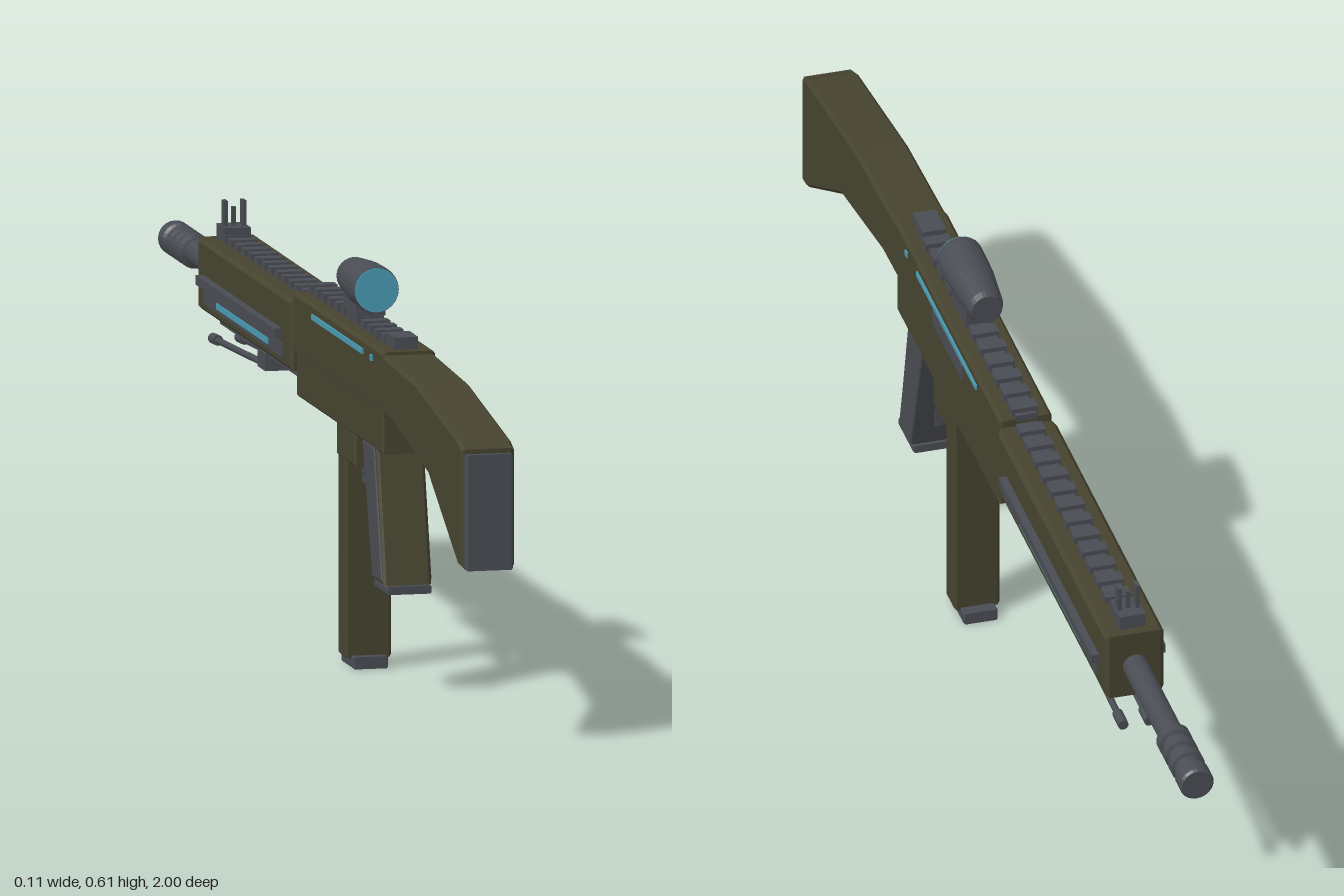
import * as THREE from 'three';

const mat = (name, color) => {
  const m = new THREE.MeshStandardMaterial({ color });
  m.name = name;
  return m;
};

export function createModel() {
  const olive = mat('olive', 0x46442f);
  const steel = mat('steel grey', 0x494c53);
  const cyan = mat('cyan', 0x4a9bb5);
  const root = new THREE.Group();

  const add = (name, geo, material, parent = root) => {
    const m = new THREE.Mesh(geo, material);
    m.name = name;
    parent.add(m);
    return m;
  };
  const group = (name) => {
    const g = new THREE.Group();
    g.name = name;
    root.add(g);
    return g;
  };
  // Box from x, y and z ranges
  const box = (name, material, [x0, x1], [y0, y1], [z0, z1], parent) => {
    const m = add(name, new THREE.BoxGeometry(x1 - x0, y1 - y0, z1 - z0), material, parent);
    m.position.set((x0 + x1) / 2, (y0 + y1) / 2, (z0 + z1) / 2);
    return m;
  };
  // Side outline of [z, y] points, extruded across x with bevelled edges
  const slab = (name, material, pts, half, bevel, parent) => {
    const shape = new THREE.Shape(pts.map(([z, y]) => new THREE.Vector2(z, y)));
    const geo = new THREE.ExtrudeGeometry(shape, {
      depth: 2 * (half - bevel), bevelEnabled: bevel > 0, bevelSize: bevel,
      bevelThickness: bevel, bevelOffset: -bevel, bevelSegments: 1,
    });
    geo.translate(0, 0, -(half - bevel));
    geo.rotateY(-Math.PI / 2);
    return add(name, geo, material, parent);
  };
  const rect = (z0, z1, y0, y1) => [[z0, y0], [z1, y0], [z1, y1], [z0, y1]];
  // Turned part along z from [radius, z] points running towards -z
  const turned = (name, material, pts, y, parent) => {
    const geo = new THREE.LatheGeometry(pts.map(([r, z]) => new THREE.Vector2(r, -z)), 24);
    geo.rotateX(-Math.PI / 2);
    const m = add(name, geo.toNonIndexed(), material, parent);
    m.geometry.computeVertexNormals();
    m.position.y = y;
    return m;
  };

  // Stock and butt plate
  const stock = group('stock');
  slab('stockBody', olive, [[0.99, 0.268], [0.99, 0.447], [0.965, 0.457], [0.7, 0.498],
    [0.47, 0.508], [0.47, 0.418], [0.55, 0.416], [0.775, 0.375], [0.963, 0.27]], 0.04, 0.005, stock);
  slab('buttPlate', steel, rect(0.975, 1, 0.267, 0.44), 0.036, 0.003, stock);

  // Receiver
  const receiver = group('receiver');
  slab('upperReceiver', olive, rect(-0.08, 0.49, 0.42, 0.512), 0.04, 0.005, receiver);
  slab('lowerReceiver', olive, rect(-0.065, 0.48, 0.358, 0.43), 0.039, 0.004, receiver);
  slab('magazineWell', olive, rect(0.18, 0.295, 0.31, 0.365), 0.037, 0.004, receiver);
  box('ejectionPort', steel, [0.037, 0.042], [0.46, 0.485], [0.12, 0.28], receiver);
  for (const s of [-1, 1]) {
    const side = [s * 0.0405 - 0.002, s * 0.0405 + 0.002];
    box('receiverLightStrip', cyan, side, [0.49, 0.498], [0.045, 0.365], receiver);
    box('receiverLightDot', cyan, side, [0.489, 0.498], [0.416, 0.426], receiver);
  }

  // Handguard with side rails, slots and light strips
  const handguard = group('handguard');
  slab('handguardBody', olive, rect(-0.665, -0.08, 0.393, 0.5), 0.045, 0.006, handguard);
  box('lowerRail', steel, [-0.022, 0.022], [0.377, 0.395], [-0.62, -0.12], handguard);
  for (const s of [-1, 1]) {
    const at = (c, w) => [s * c - w / 2, s * c + w / 2];
    box('sideRail', steel, at(0.049, 0.015), [0.435, 0.449], [-0.63, -0.13], handguard);
    box('sideSlot', steel, at(0.0445, 0.004), [0.407, 0.428], [-0.62, -0.12], handguard);
    box('handguardLightStrip', cyan, at(0.0455, 0.005), [0.413, 0.422], [-0.535, -0.21], handguard);
  }

  // Top rail with cross teeth
  const rail = group('topRail');
  box('receiverRailBase', steel, [-0.016, 0.016], [0.508, 0.518], [-0.08, 0.46], rail);
  box('handguardRailBase', steel, [-0.016, 0.016], [0.496, 0.504], [-0.65, -0.08], rail);
  for (let z = 0.4; z > -0.64; z -= 0.042) {
    const y = z > -0.075 ? 0.511 : 0.497;
    box('railTooth', steel, [-0.02, 0.02], [y, y + 0.014], [z - 0.011, z + 0.011], rail);
  }

  // Barrel and ringed muzzle brake
  const barrel = group('barrel');
  turned('barrelTube', steel, [[0, -0.6], [0.019, -0.6], [0.019, -0.87], [0, -0.87]], 0.444, barrel);
  const brake = [[0, -0.855], [0.021, -0.86]];
  for (const z of [-0.868, -0.9, -0.932]) {
    brake.push([0.021, z], [0.026, z - 0.002], [0.026, z - 0.018], [0.021, z - 0.02]);
  }
  brake.push([0.021, -0.966], [0.026, -0.97], [0.026, -0.996], [0.023, -1], [0, -1]);
  turned('muzzleBrake', steel, brake, 0.444, barrel);

  // Iron sights
  const sights = group('ironSights');
  box('frontSightBase', steel, [-0.02, 0.02], [0.5, 0.522], [-0.65, -0.6], sights);
  box('frontSightPost', steel, [-0.003, 0.003], [0.52, 0.55], [-0.628, -0.622], sights);
  for (const x of [-0.014, 0.014]) {
    box('frontSightEar', steel, [x - 0.003, x + 0.003], [0.52, 0.56], [-0.632, -0.616], sights);
  }
  box('rearSightBase', steel, [-0.018, 0.018], [0.51, 0.53], [0.415, 0.47], sights);

  // Scope on its mount
  const scope = group('scope');
  turned('scopeTube', steel, [[0, 0.28], [0.034, 0.28], [0.035, 0.27], [0.034, 0.215],
    [0.027, 0.14], [0.023, 0.13], [0, 0.13]], 0.57, scope);
  const lens = add('scopeLens', new THREE.CylinderGeometry(0.033, 0.033, 0.004, 24), cyan, scope);
  lens.rotation.x = Math.PI / 2;
  lens.position.set(0, 0.57, 0.2805);
  box('mountTop', steel, [-0.022, 0.022], [0.526, 0.555], [0.165, 0.245], scope);
  box('mountFoot', steel, [-0.019, 0.019], [0.512, 0.53], [0.175, 0.235], scope);

  // Grip with side panels and base cap
  const grip = group('grip');
  slab('gripCore', olive, [[0.48, 0.16], [0.415, 0.16], [0.352, 0.365], [0.432, 0.365]], 0.036, 0.004, grip);
  slab('gripPanels', steel, [[0.472, 0.168], [0.412, 0.165], [0.35, 0.36], [0.422, 0.36]], 0.038, 0.002, grip);
  slab('gripCap', steel, rect(0.408, 0.49, 0.15, 0.162), 0.034, 0.002, grip);

  // Trigger and guard
  const trigger = group('trigger');
  slab('triggerBlade', steel, [[0.393, 0.205], [0.389, 0.205], [0.384, 0.36], [0.392, 0.36]], 0.006, 0, trigger);
  box('guardBar', steel, [-0.01, 0.01], [0.277, 0.285], [0.23, 0.36], trigger);
  box('guardFront', steel, [-0.01, 0.01], [0.277, 0.315], [0.23, 0.24], trigger);

  // Magazine
  const magazine = group('magazine');
  slab('magazineBody', olive, rect(0.184, 0.23, 0.014, 0.32), 0.035, 0.004, magazine);
  slab('magazineBase', steel, rect(0.165, 0.246, 0, 0.018), 0.026, 0.002, magazine);

  // Folded bipod
  const bipod = group('bipod');
  box('bipodBlock', steel, [-0.025, 0.025], [0.354, 0.38], [-0.37, -0.32], bipod);
  for (const x of [-0.02, 0.02]) {
    const leg = (name, r, a, b) => {
      const path = new THREE.LineCurve3(new THREE.Vector3(x, ...a), new THREE.Vector3(x, ...b));
      const m = add(name, new THREE.CylinderGeometry(r, r, path.getLength(), 10), steel, bipod);
      path.getPoint(0.5, m.position);
      m.quaternion.setFromUnitVectors(new THREE.Vector3(0, 1, 0), path.getTangent(0));
    };
    leg('bipodLeg', 0.005, [0.361, -0.35], [0.348, -0.65]);
    leg('bipodFoot', 0.008, [0.3485, -0.64], [0.347, -0.672]);
  }

  return root;
}
